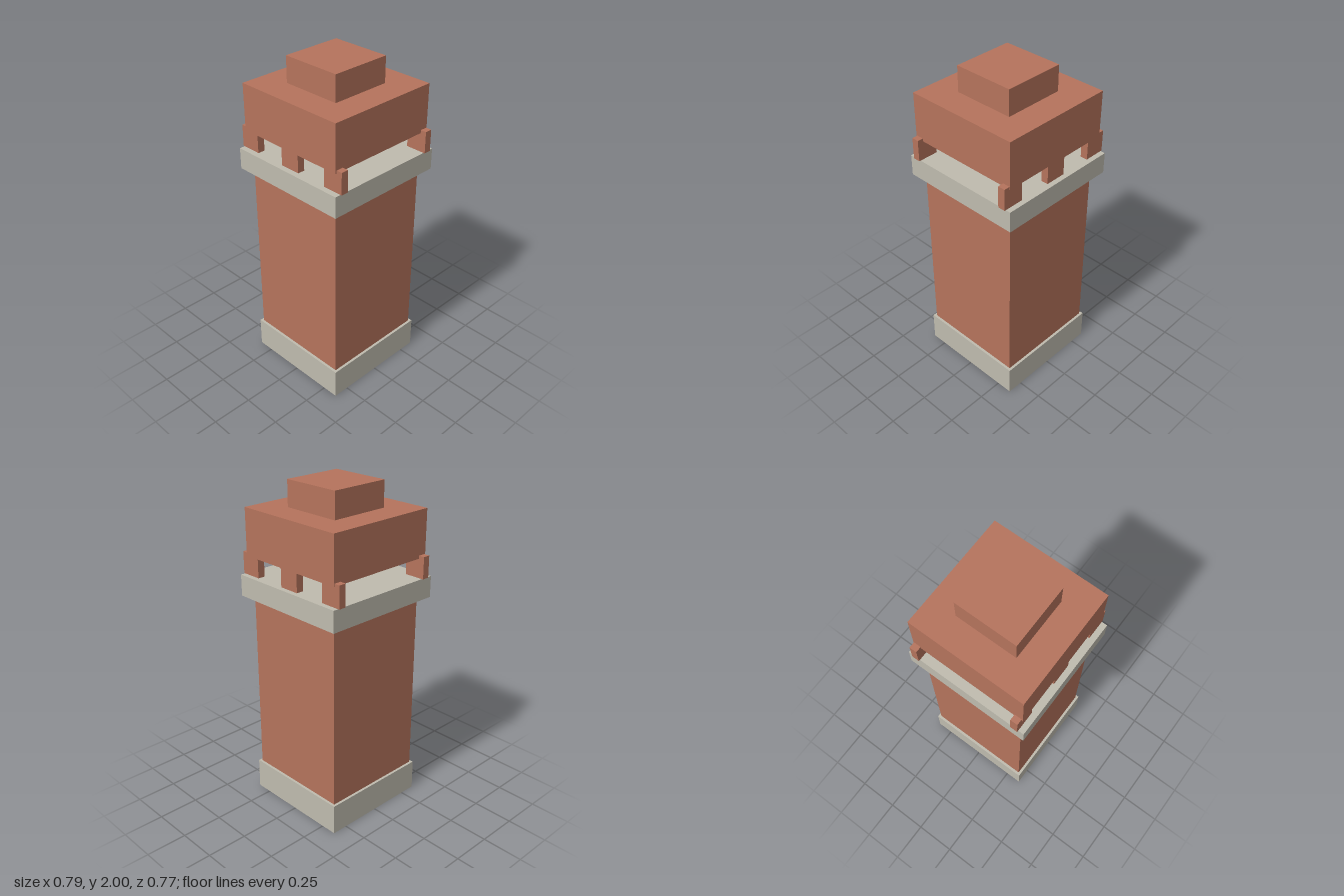
import * as THREE from 'three';

export function createModel() {
  const model = new THREE.Group();
  model.name = 'chimney';

  const brick = new THREE.MeshStandardMaterial({ color: 0xb5735c });
  brick.name = 'brick red';
  const stone = new THREE.MeshStandardMaterial({ color: 0xbfbbae });
  stone.name = 'pale stone';

  // Box standing between two heights
  function block(name, material, width, depth, bottom, top, x = 0, z = 0) {
    const mesh = new THREE.Mesh(new THREE.BoxGeometry(width, top - bottom, depth), material);
    mesh.name = name;
    mesh.position.set(x, (bottom + top) / 2, z);
    model.add(mesh);
  }

  // Square tiers from the ground up
  block('base', stone, 0.696, 0.696, 0, 0.19);
  block('shaft', brick, 0.664, 0.664, 0.19, 1.317);
  block('ledge', stone, 0.772, 0.772, 1.317, 1.446);
  block('hood', brick, 0.716, 0.716, 1.56, 1.843);
  block('cap', brick, 0.376, 0.376, 1.843, 2);

  // Two rows of three short piers carrying the hood
  for (const z of [-0.332, 0.328]) {
    for (const x of [-0.33, 0, 0.33]) {
      block('pier', brick, 0.13, 0.045, 1.446, 1.578, x, z);
    }
  }

  return model;
}
